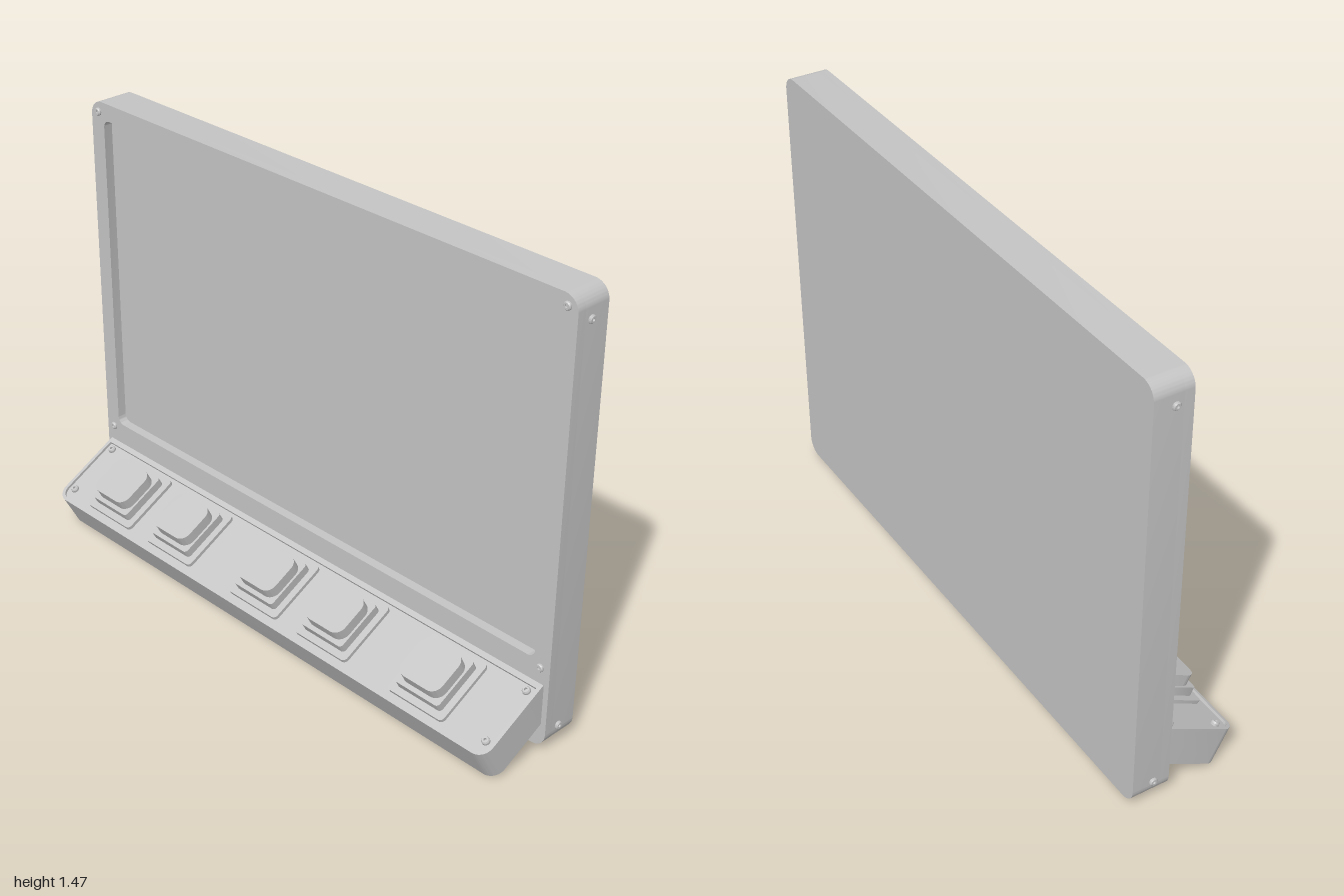
import * as THREE from 'three';
import { toCreasedNormals } from 'three/addons/utils/BufferGeometryUtils.js';

const grey = new THREE.MeshStandardMaterial({ color: 0xc4c4c4 });
grey.name = 'light grey plastic';

// Rounded rectangle; rBottom and rTop are the corner radii at low and high y
function outline(path, x0, y0, x1, y1, rBottom, rTop = rBottom) {
  path.moveTo(x0 + rBottom, y0);
  path.lineTo(x1 - rBottom, y0);
  if (rBottom) path.absarc(x1 - rBottom, y0 + rBottom, rBottom, -Math.PI / 2, 0);
  path.lineTo(x1, y1 - rTop);
  if (rTop) path.absarc(x1 - rTop, y1 - rTop, rTop, 0, Math.PI / 2);
  path.lineTo(x0 + rTop, y1);
  if (rTop) path.absarc(x0 + rTop, y1 - rTop, rTop, Math.PI / 2, Math.PI);
  path.lineTo(x0, y0 + rBottom);
  if (rBottom) path.absarc(x0 + rBottom, y0 + rBottom, rBottom, Math.PI, Math.PI * 1.5);
  return path;
}

function addMesh(parent, name, geometry) {
  const mesh = new THREE.Mesh(geometry, grey);
  mesh.name = name;
  parent.add(mesh);
  return mesh;
}

// Slab of a rounded rectangle between depths z0 and z1, with an optional opening
function addSlab(parent, name, rect, z0, z1, hole) {
  const shape = outline(new THREE.Shape(), ...rect);
  if (hole) shape.holes.push(outline(new THREE.Path(), ...hole));
  const geo = new THREE.ExtrudeGeometry(shape, { depth: z1 - z0, bevelEnabled: false, curveSegments: 8 });
  geo.translate(0, 0, z0);
  return addMesh(parent, name, toCreasedNormals(geo, 0.6));
}

// Socket-head screw facing local +z
function addScrew(parent, name, x, y, z, height = 0.008) {
  const profile = [[0, 0.3], [0.005, 0.3], [0.005, 1], [0.01, 1], [0.013, 0.6], [0.013, 0]]
    .map(([r, h]) => new THREE.Vector2(r, h * height)).reverse();
  const geo = new THREE.LatheGeometry(profile, 16).rotateX(Math.PI / 2);
  // the profile runs base to top, so faces point outward
  const screw = addMesh(parent, name, toCreasedNormals(geo, 0.5));
  screw.position.set(x, y, z);
  return screw;
}

export function createModel() {
  const model = new THREE.Group();
  model.name = 'displayConsole';

  // Upright display housing with a recessed screen
  const display = new THREE.Group();
  display.name = 'display';
  model.add(display);
  const body = [-0.992, 0.02, 0.992, 1.475, 0.05];
  addSlab(display, 'housing', body, -0.187, -0.093);
  addSlab(display, 'bezel', body, -0.093, -0.062, [-0.933, 0.315, 0.933, 1.418, 0.025]);

  for (const side of [-1, 1]) {
    for (const y of [0.295, 1.44]) addScrew(display, 'bezelScrew', side * 0.957, y, -0.062);
    for (const y of [0.08, 1.395]) {
      addScrew(display, 'sideScrew', side * 0.992, y, -0.118).rotation.y = side * Math.PI / 2;
    }
  }

  // Tilted control panel: local y runs up the slope, local z out of it
  const panel = new THREE.Group();
  panel.name = 'controlPanel';
  panel.position.set(0, 0.11, 0.187);
  panel.rotation.x = THREE.MathUtils.degToRad(-62);
  model.add(panel);
  const base = [-0.974, 0, 0.974, 0.28, 0.045, 0];
  addSlab(panel, 'panelBase', base, -0.124, -0.009);
  addSlab(panel, 'panelLip', base, -0.009, 0, [-0.963, 0.011, 0.963, 0.262, 0.034, 0.004]);
  for (const side of [-1, 1]) {
    for (const y of [0.053, 0.243]) addScrew(panel, 'panelScrew', side * 0.938, y, -0.009, 0.012);
  }

  // Five stepped push buttons
  for (const x of [-0.73, -0.425, -0.02, 0.285, 0.68]) {
    const button = new THREE.Group();
    button.name = 'button';
    button.position.set(x, 0.14, 0);
    panel.add(button);
    addSlab(button, 'buttonFlange', [-0.11, -0.11, 0.11, 0.11, 0.015], -0.009, 0.003);
    addSlab(button, 'buttonCollar', [-0.0875, -0.087, 0.0875, 0.087, 0.012], 0.003, 0.032);
    addSlab(button, 'buttonCap', [-0.08, -0.072, 0.08, 0.072, 0.035], 0.032, 0.07);
  }
  return model;
}
